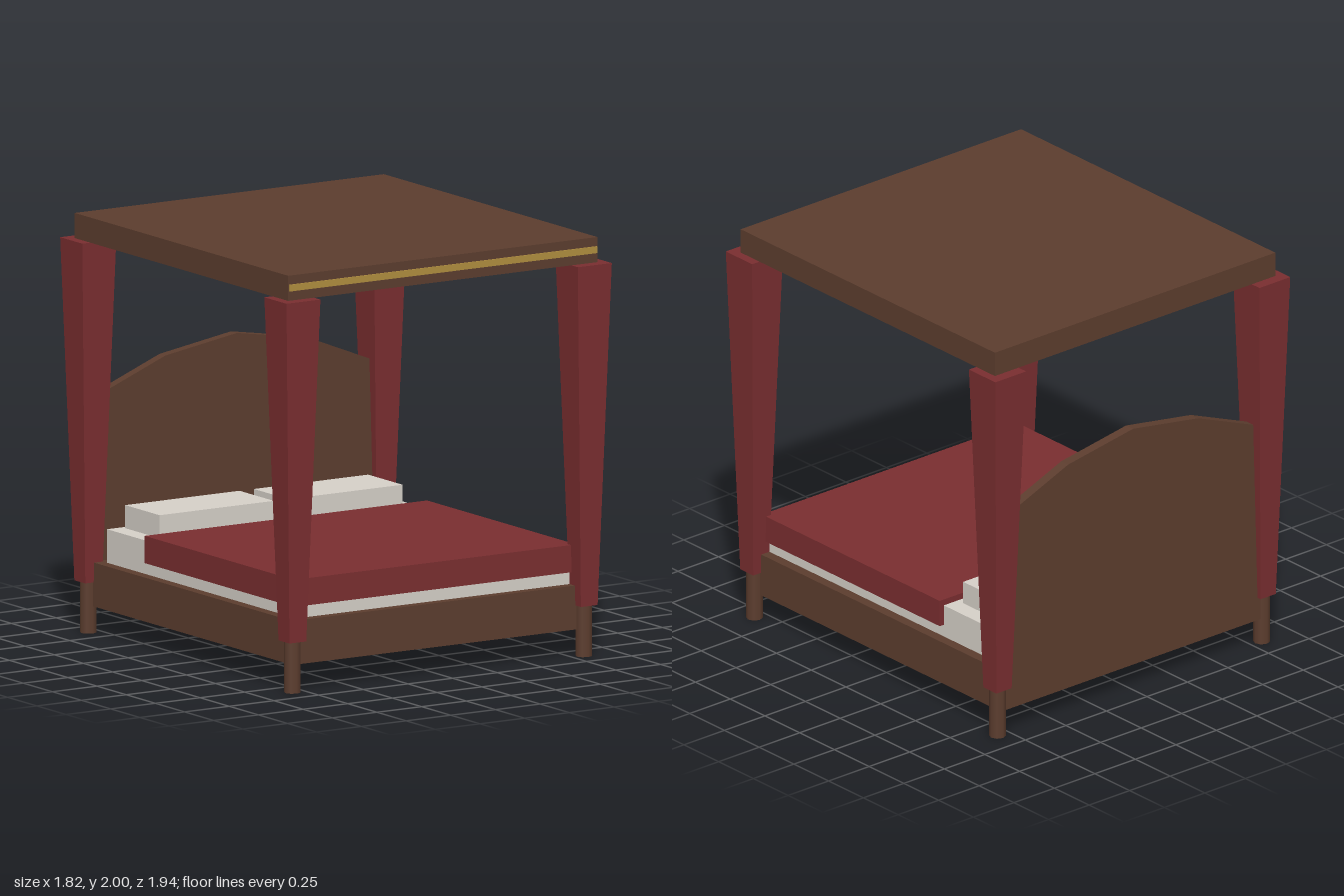
import * as THREE from 'three';

export function createModel() {
  const bed = new THREE.Group();
  bed.name = 'canopyBed';

  const material = (name, color, flatShading = false) => {
    const m = new THREE.MeshStandardMaterial({ color });
    m.name = name;
    m.flatShading = flatShading;
    return m;
  };
  const wood = material('darkWood', 0x5c3d2e);
  const cloth = material('redCloth', 0x7a2e30, true);
  const linen = material('linen', 0xd6d0c8);
  const gold = material('goldTrim', 0xb08d3f);

  const add = (name, geometry, mat, x = 0, y = 0, z = 0) => {
    const mesh = new THREE.Mesh(geometry, mat);
    mesh.name = name;
    mesh.position.set(x, y, z);
    bed.add(mesh);
    return mesh;
  };
  // Box given by its lower and upper limits on each axis
  const box = (name, mat, [x0, x1], [y0, y1], [z0, z1]) =>
    add(name, new THREE.BoxGeometry(x1 - x0, y1 - y0, z1 - z0), mat,
      (x0 + x1) / 2, (y0 + y1) / 2, (z0 + z1) / 2);

  // Bed base, mattress and blanket
  box('bedFrame', wood, [-0.815, 0.815], [0.13, 0.34], [-0.875, 0.875]);
  box('mattress', linen, [-0.765, 0.765], [0.34, 0.5], [-0.79, 0.83]);
  box('blanket', cloth, [-0.79, 0.79], [0.4, 0.53], [-0.43, 0.85]);

  // Canopy with a gilded strip along the front
  box('canopy', wood, [-0.865, 0.865], [1.88, 2], [-0.915, 0.915]);
  box('canopyTrim', gold, [-0.86, 0.86], [1.925, 1.957], [0.914, 0.922]);

  // Arched headboard
  const arch = new THREE.Shape([
    [-0.815, 0.13], [0.815, 0.13], [0.815, 1.115], [0.4, 1.28],
    [0, 1.345], [-0.4, 1.28], [-0.815, 1.115],
  ].map(([x, y]) => new THREE.Vector2(x, y)));
  add('headboard', new THREE.ExtrudeGeometry(arch, { depth: 0.05, bevelEnabled: false }),
    wood, 0, 0, -0.9);

  // Posts wrapped in tapering square drapes
  const postGeometry = new THREE.CylinderGeometry(0.04, 0.04, 1.88, 8);
  const drapeGeometry = new THREE.CylinderGeometry(
    0.095 * Math.SQRT2, 0.047 * Math.SQRT2, 1.635, 4).rotateY(Math.PI / 4);
  for (const sx of [1, -1]) {
    const side = sx > 0 ? 'Left' : 'Right';
    for (const sz of [1, -1]) {
      const corner = (sz > 0 ? 'front' : 'back') + side;
      add(corner + 'Post', postGeometry, wood, sx * 0.815, 0.94, sz * 0.875);
      add(corner + 'Drape', drapeGeometry, cloth, sx * 0.815, 1.0625, sz * 0.875);
    }
    // Pillow
    add('pillow' + side, new THREE.BoxGeometry(0.64, 0.11, 0.295), linen,
      sx * 0.36, 0.555, -0.618);
  }
  return bed;
}
